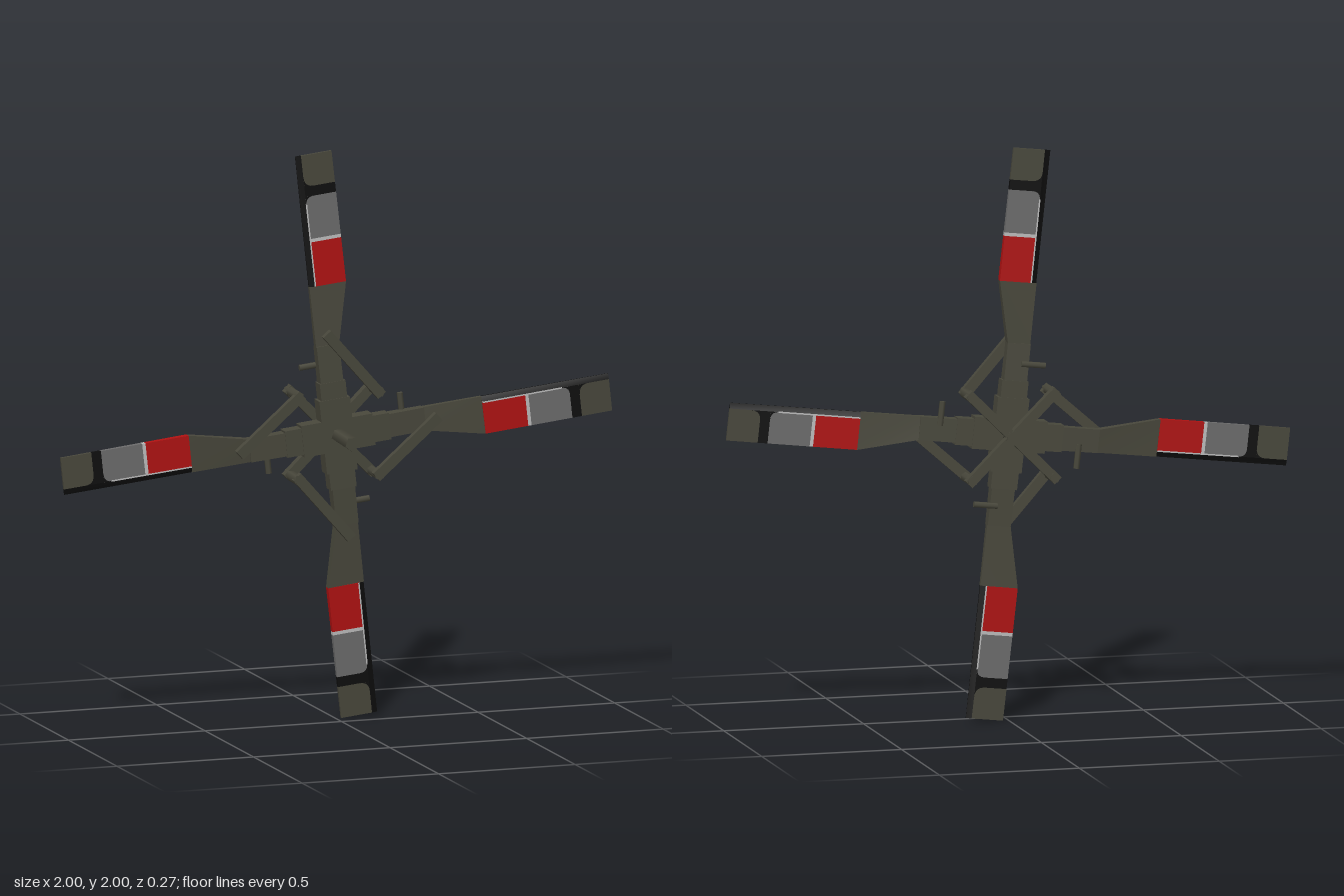
import * as THREE from 'three';

const mat = (name, color) => Object.assign(new THREE.MeshStandardMaterial({ color }), { name });

export function createModel() {
  const olive = mat('olive', 0x48473b);
  const red = mat('red', 0xaf1111);
  const grey = mat('grey', 0x6b6b6b);
  const black = mat('black', 0x0d0d0d);
  const pale = mat('pale grey', 0xbcbcbc);

  const add = (parent, name, geometry, material) => {
    const mesh = new THREE.Mesh(geometry, material);
    mesh.name = name;
    parent.add(mesh);
    return mesh;
  };

  // Half thickness of a blade at distance u from the hub
  const half = (u) => u < 0.53
    ? THREE.MathUtils.mapLinear(u, 0.18, 0.53, 0.023, 0.013)
    : THREE.MathUtils.mapLinear(u, 0.53, 1, 0.013, 0.005);

  // Tapered block: a and b are end sections [u, v low, v high];
  // edge scales the thickness along the high-v edge
  const block = (a, b, edge = 1, extra = 0) => {
    const g = new THREE.BoxGeometry(1, 1, 1);
    const p = g.attributes.position;
    for (let i = 0; i < p.count; i++) {
      const s = p.getX(i) < 0 ? a : b;
      const high = p.getY(i) > 0;
      const h = half(s[0]) * (high ? edge : 1) + extra;
      p.setXYZ(i, s[0], high ? s[2] : s[1], Math.sign(p.getZ(i)) * h);
    }
    g.computeVertexNormals();
    return g;
  };

  // Flat bar between two points, at depth z
  const bar = (parent, name, x0, y0, x1, y1, z, width, depth) => {
    const len = Math.hypot(x1 - x0, y1 - y0);
    const m = add(parent, name, new THREE.BoxGeometry(len, width, depth), olive);
    m.position.set((x0 + x1) / 2, (y0 + y1) / 2, z);
    m.rotation.z = Math.atan2(y1 - y0, x1 - x0);
    return m;
  };

  // Black fillet that rounds one corner of a painted panel, on both faces
  const corner = (parent, u, v, du, dv) => {
    for (const side of [1, -1]) {
      const s = new THREE.Shape();
      s.moveTo(u, v);
      s.lineTo(u + du, v);
      s.quadraticCurveTo(u, v, u, v + dv);
      const g = new THREE.ShapeGeometry(s, 5);
      const p = g.attributes.position;
      for (let i = 0; i < p.count; i++) p.setZ(i, side * (half(p.getX(i)) + 0.0008));
      const m = black.clone === undefined ? black : cornerMaterial;
      add(parent, 'paintCorner', g, m);
    }
  };
  const cornerMaterial = black;
  cornerMaterial.side = THREE.DoubleSide;

  const LOW = -0.09, MID = 0.022, HIGH = 0.042;

  const makeBlade = () => {
    const blade = new THREE.Group();
    blade.name = 'blade';
    // Narrow root flaring to full chord
    add(blade, 'bladeRoot', block([0.17, -0.04, HIGH], [0.32, -0.04, HIGH]), olive);
    add(blade, 'bladeFlare', block([0.32, -0.04, HIGH], [0.533, LOW, HIGH], 0.6), olive);
    // Painted bands
    const bands = [
      ['redBand', 0.533, 0.69, red], ['paleLine', 0.69, 0.702, pale],
      ['greyBand', 0.702, 0.852, grey], ['blackBand', 0.852, 0.887, black],
      ['oliveTip', 0.887, 0.998, olive],
    ];
    for (const [name, u0, u1, m] of bands) add(blade, name, block([u0, LOW, MID], [u1, LOW, MID]), m);
    add(blade, 'trailingEdge', block([0.533, MID, HIGH], [0.998, MID, HIGH], 0.25), black);
    // Thin outline along the panels
    add(blade, 'panelOutline', block([0.533, MID - 0.003, MID + 0.002], [0.825, MID - 0.003, MID + 0.002], 1, 0.0006), pale);
    corner(blade, 0.852, MID, -0.03, -0.03);
    corner(blade, 0.887, MID, 0.035, -0.035);
    return blade;
  };

  const model = new THREE.Group();
  model.name = 'tailRotor';
  const rotor = new THREE.Group();
  rotor.name = 'rotor';
  rotor.position.set(-0.0025, 1.003, -0.05);
  rotor.rotation.set(0.015, -0.0225, 0);
  model.add(rotor);

  for (let k = 0; k < 4; k++) {
    const quarter = new THREE.Group();
    quarter.name = 'rotorQuarter';
    quarter.rotation.z = k * Math.PI / 2;
    rotor.add(quarter);

    const arm = new THREE.Group();
    arm.name = 'bladeArm';
    arm.rotation.z = 0.113;
    quarter.add(arm);
    arm.add(makeBlade());

    // Hub arm and blade cuff
    bar(arm, 'hubArm', 0, 0, 0.13, 0, 0, 0.112, 0.056);
    bar(arm, 'bladeCuff', 0.12, 0, 0.19, 0, 0, 0.094, 0.05);
    // Small pin beside the blade root
    const pin = add(arm, 'rootPin', new THREE.CylinderGeometry(0.011, 0.011, 0.085, 6), olive);
    pin.position.set(0.25, 0.058, -0.02);

    // Pitch link, its post and the spider arm behind the hub
    bar(quarter, 'pitchLink', 0.135, -0.153, 0.362, 0.047, 0.03, 0.036, 0.024);
    const post = add(quarter, 'linkPost', new THREE.CylinderGeometry(0.018, 0.018, 0.125, 6), olive);
    post.rotation.x = Math.PI / 2;
    post.position.set(0.147, -0.147, -0.0225);
    bar(quarter, 'spiderArm', 0, 0, 0.158, -0.158, -0.066, 0.034, 0.03);
  }

  // Drive shaft
  const shaft = add(rotor, 'driveShaft', new THREE.CylinderGeometry(0.026, 0.026, 0.265, 5), olive);
  shaft.rotation.x = Math.PI / 2;
  shaft.position.z = 0.0475;
  const stub = add(rotor, 'spiderHub', new THREE.CylinderGeometry(0.024, 0.024, 0.06, 6), olive);
  stub.rotation.x = Math.PI / 2;
  stub.position.z = -0.057;

  return model;
}
